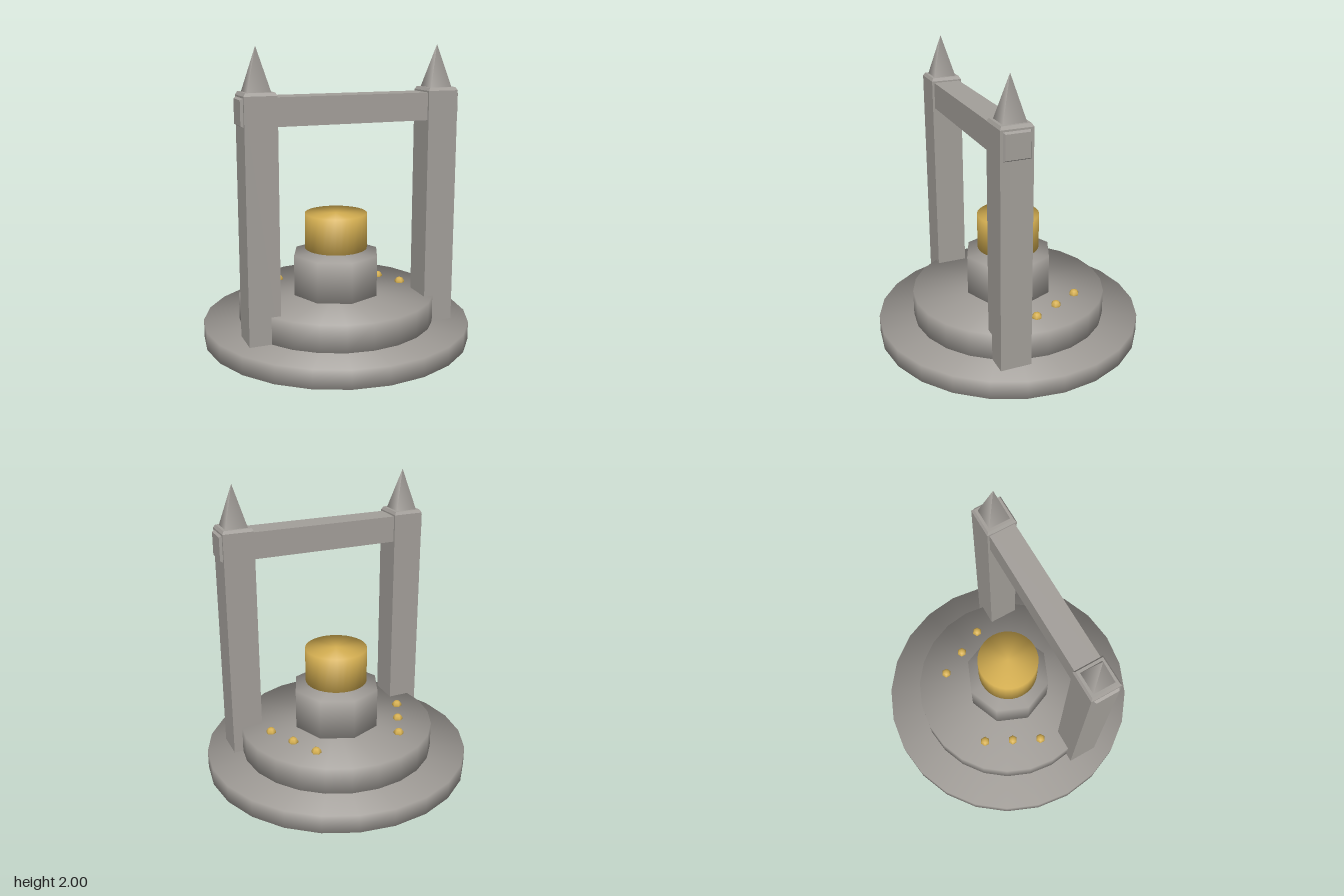
import * as THREE from 'three';

const stone = new THREE.MeshStandardMaterial({ color: 0xa39f9a });
stone.name = 'grey stone';
const gold = new THREE.MeshStandardMaterial({ color: 0xd6b052 });
gold.name = 'gold';

function add(parent, name, geometry, material, x = 0, y = 0, z = 0) {
  const mesh = new THREE.Mesh(geometry, material);
  mesh.name = name;
  mesh.position.set(x, y, z);
  parent.add(mesh);
  return mesh;
}

// Drum whose normals blend smoothly over the rim from side to cap
function smoothDrum(radius, height, sides) {
  const geo = new THREE.CylinderGeometry(radius, radius, height, sides);
  const p = geo.attributes.position;
  const spread = 1.7, unit = Math.hypot(1, spread);
  for (let i = 0; i < p.count; i++) {
    geo.attributes.normal.setXYZ(i,
      (p.getX(i) / radius) * spread / unit,
      Math.sign(p.getY(i)) / unit,
      (p.getZ(i) / radius) * spread / unit);
  }
  return geo;
}

// Square bar along +z with slightly chamfered ends
function squareBar(width, length) {
  const chamfer = 0.02, inset = 0.012;
  const h = width / 2 - inset;
  const shape = new THREE.Shape([
    new THREE.Vector2(-h, -h), new THREE.Vector2(h, -h),
    new THREE.Vector2(h, h), new THREE.Vector2(-h, h),
  ]);
  const geo = new THREE.ExtrudeGeometry(shape, {
    depth: length - 2 * chamfer, bevelEnabled: true, bevelSegments: 1,
    bevelThickness: chamfer, bevelSize: inset,
  });
  return geo.translate(0, 0, chamfer);
}

export function createModel() {
  const model = new THREE.Group();
  model.name = 'shrine';

  // Stepped round base, pedestal and the gold drum floating above it
  const drums = [
    ['baseDisc', 0.92, 0, 0.125, 24, stone],
    ['upperStep', 0.675, 0.125, 0.308, 24, stone],
    ['pedestal', 0.305, 0.308, 0.588, 8, stone],
    ['goldDrum', 0.214, 0.62, 0.865, 32, gold],
  ];
  for (const [name, radius, y0, y1, sides, material] of drums) {
    add(model, name, smoothDrum(radius, y1 - y0, sides), material, 0, (y0 + y1) / 2, 0);
  }

  // Gateway: two posts with pointed spires, joined by a beam
  const gate = new THREE.Group();
  gate.name = 'gateway';
  gate.position.z = 0.247;
  model.add(gate);
  const post = squareBar(0.21, 1.72).rotateX(-Math.PI / 2);
  const spire = new THREE.ConeGeometry(0.106, 0.277, 4).rotateY(Math.PI / 4);
  for (const side of [-1, 1]) {
    const label = side > 0 ? 'left' : 'right';
    add(gate, label + 'Post', post, stone, side * 0.615, 0.005, 0);
    add(gate, label + 'Spire', spire, stone, side * 0.615, 1.8615, 0);
  }
  const beam = squareBar(0.18, 1.474).rotateY(Math.PI / 2);
  add(gate, 'crossBeam', beam, stone, -0.737, 1.605, 0);

  // Two rows of small gold studs on the upper step
  const stud = new THREE.SphereGeometry(0.036, 6, 5).rotateY(Math.PI / 6);
  for (const side of [-1, 1]) {
    for (let i = 0; i < 3; i++) {
      add(model, 'goldStud', stud, gold, side * (0.492 - 0.092 * i), 0.31, -0.185 * i);
    }
  }
  return model;
}
